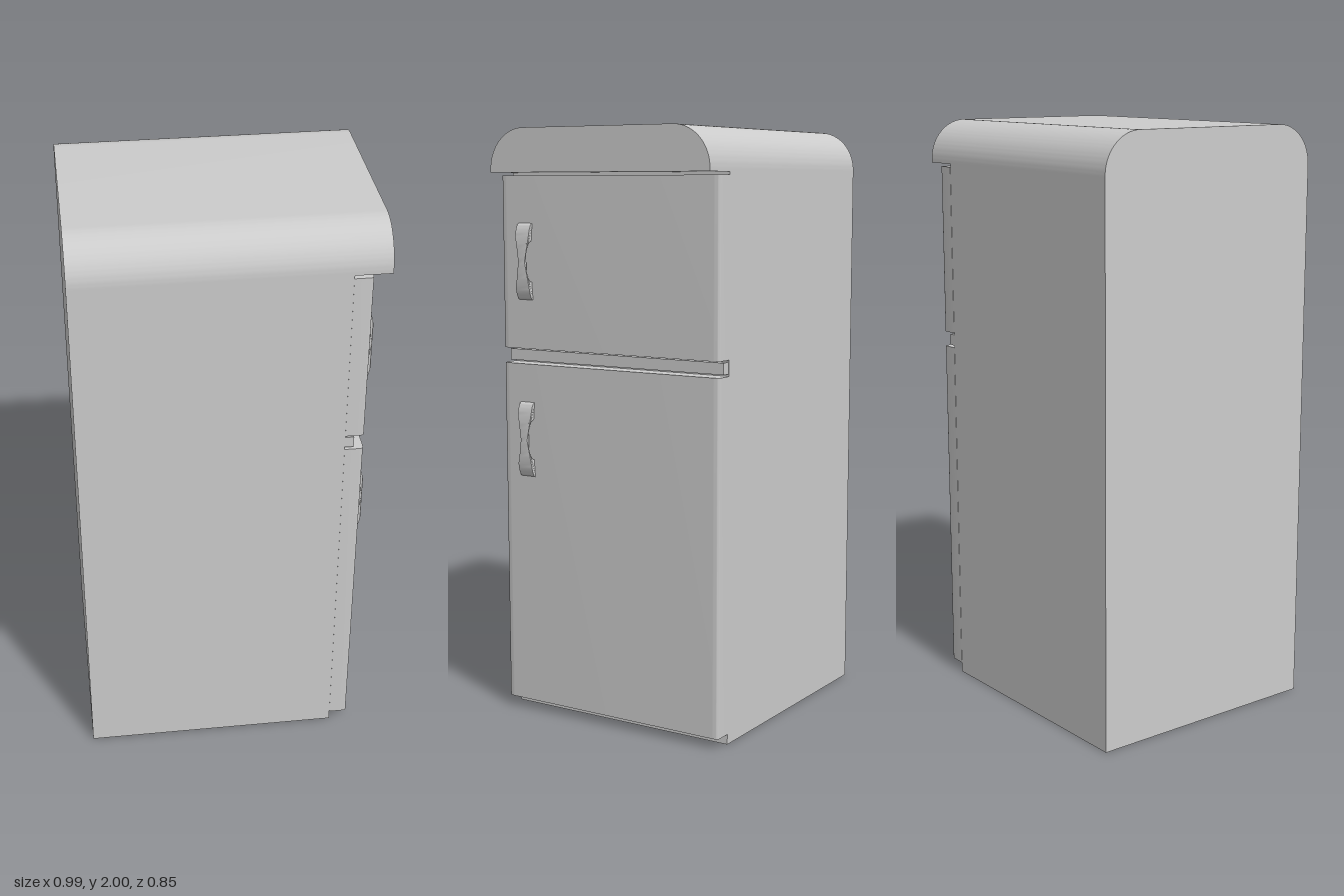
import * as THREE from 'three';
import { toCreasedNormals } from 'three/addons/utils/BufferGeometryUtils.js';

const HALF = 0.426; // half width of the cabinet along z
const BACK = -0.495, BODY_FRONT = 0.375, DOOR_FRONT = 0.438, CAP_FRONT = 0.495;

export function createModel() {
  const model = new THREE.Group();
  model.name = 'refrigerator';
  const material = new THREE.MeshStandardMaterial({ color: 0xcccccc });

  function add(name, geometry, x = 0, y = 0, z = 0) {
    const mesh = new THREE.Mesh(geometry, material);
    mesh.name = name;
    mesh.position.set(x, y, z);
    model.add(mesh);
  }

  function box(name, x0, x1, y0, y1, half) {
    add(name, new THREE.BoxGeometry(x1 - x0, y1 - y0, half * 2), (x0 + x1) / 2, (y0 + y1) / 2, 0);
  }

  // Cabinet and the recessed strip between the doors
  box('cabinet', BACK, BODY_FRONT, 0, 1.855, HALF);
  box('divider', BODY_FRONT, 0.405, 1.222, 1.26, HALF - 0.002);

  // Rounded top that overhangs the doors
  const r = 0.135;
  const arch = new THREE.Shape();
  arch.moveTo(-HALF, 1.855);
  arch.lineTo(HALF, 1.855);
  arch.lineTo(HALF, 2 - r);
  arch.absarc(HALF - r, 2 - r, r, 0, Math.PI / 2);
  arch.absarc(-HALF + r, 2 - r, r, Math.PI / 2, Math.PI);
  arch.closePath();
  const cap = new THREE.ExtrudeGeometry(arch, { depth: CAP_FRONT - BACK, bevelEnabled: false, curveSegments: 16 });
  cap.rotateY(Math.PI / 2);
  add('top', toCreasedNormals(cap, 0.6), BACK);

  // Doors: plan outline with softened front corners, extruded upwards
  function addDoor(name, y0, y1) {
    const h = HALF + 0.001, c = 0.022, d = 0.01;
    const plan = new THREE.Shape();
    plan.moveTo(BODY_FRONT, -h);
    plan.lineTo(DOOR_FRONT - d, -h);
    plan.quadraticCurveTo(DOOR_FRONT, -h, DOOR_FRONT, -h + c);
    plan.lineTo(DOOR_FRONT, h - c);
    plan.quadraticCurveTo(DOOR_FRONT, h, DOOR_FRONT - d, h);
    plan.lineTo(BODY_FRONT, h);
    plan.closePath();
    const geometry = new THREE.ExtrudeGeometry(plan, { depth: y1 - y0, bevelEnabled: false, curveSegments: 8 });
    geometry.rotateX(-Math.PI / 2);
    add(name, toCreasedNormals(geometry, 0.6), 0, y0);
  }
  addDoor('lowerDoor', 0.035, 1.215);
  addDoor('upperDoor', 1.267, 1.845);

  // Handle: arched side outline, pinched in width towards its middle
  function handleGeometry() {
    const points = [], n = 32;
    const rise = (t, height, power) => height * Math.sqrt(Math.max(0, 1 - Math.abs(t) ** power));
    for (let i = 0; i <= n; i++) {
      const t = -Math.cos((i / n) * Math.PI);
      points.push(new THREE.Vector2(rise(t, 0.026, 3), t * 0.128));
    }
    for (let i = 0; i <= n; i++) {
      const t = Math.cos((i / n) * Math.PI);
      points.push(new THREE.Vector2(rise(t, 0.016, 8), t * 0.068));
    }
    const geometry = new THREE.ExtrudeGeometry(new THREE.Shape(points), { depth: 2, bevelEnabled: false });
    geometry.translate(0, 0, -1);
    const p = geometry.attributes.position;
    for (let i = 0; i < p.count; i++) {
      const half = 0.013 + 0.015 * THREE.MathUtils.smoothstep(Math.abs(p.getY(i)), 0.03, 0.09);
      p.setZ(i, p.getZ(i) * half);
    }
    return toCreasedNormals(geometry, 0.7);
  }
  const handle = handleGeometry();
  add('upperHandle', handle, DOOR_FRONT - 0.001, 1.56, 0.328);
  add('lowerHandle', handle, DOOR_FRONT - 0.001, 0.957, 0.328);

  return model;
}
